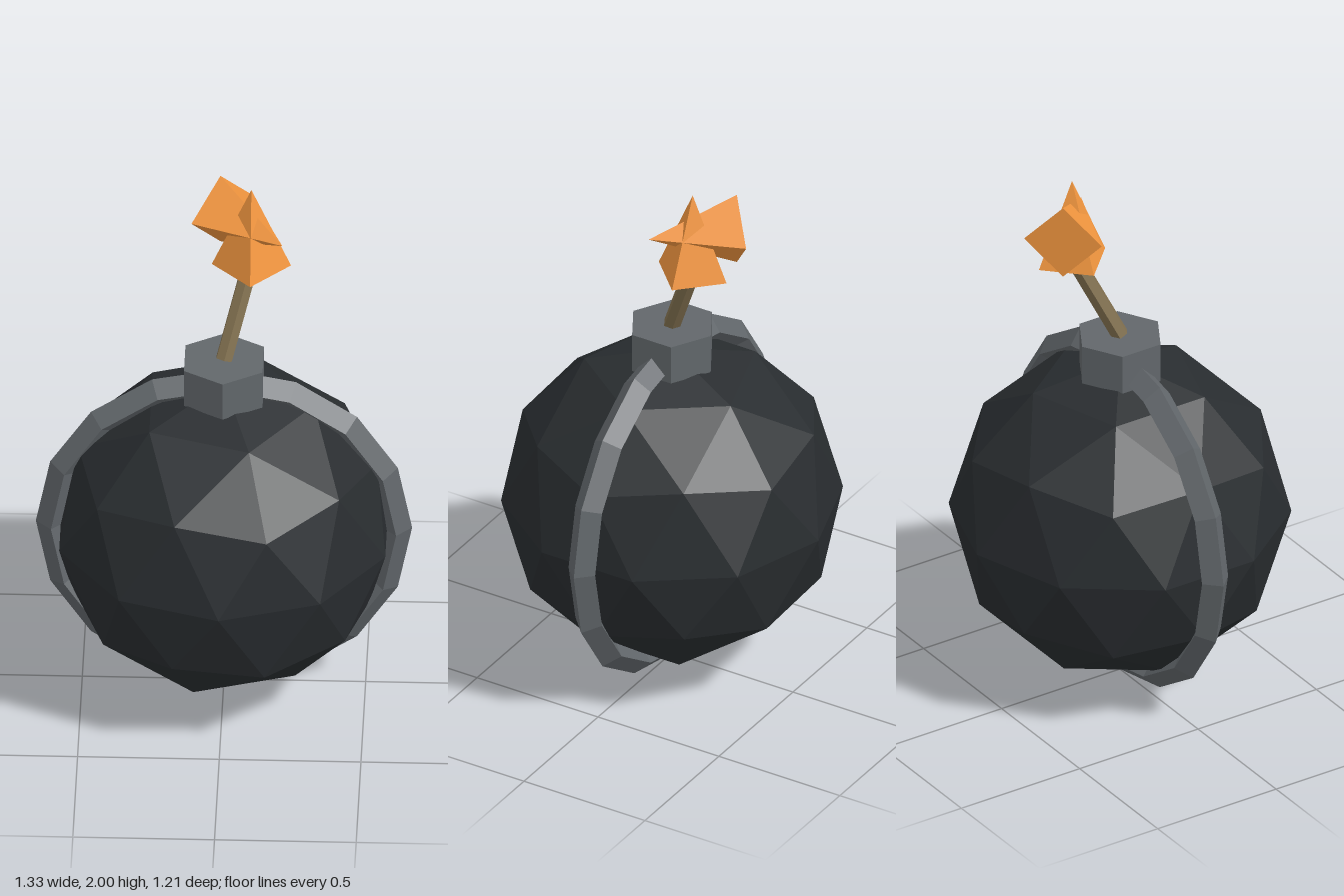
import * as THREE from 'three';

export function createModel() {
  const model = new THREE.Group();
  const material = (color) => new THREE.MeshStandardMaterial({ color, flatShading: true });
  const iron = material(0x292d30);
  const steel = material(0x62676b);
  const cord = material(0x81704f);
  const fire = material(0xf2963f);

  const add = (name, geometry, mat, x, y, z) => {
    const mesh = new THREE.Mesh(geometry, mat);
    mesh.name = name;
    mesh.position.set(x, y, z);
    model.add(mesh);
    return mesh;
  };

  // Faceted ball, turned so a five-sided corner points straight up
  const ball = new THREE.IcosahedronGeometry(0.605, 1);
  ball.rotateX(-Math.atan((1 + Math.sqrt(5)) / 2));
  ball.rotateY(Math.PI / 2);
  add('body', ball, iron, 0, 0.665, 0);

  // Diamond-section band around the ball
  add('band', new THREE.TorusGeometry(0.609, 0.055, 4, 16), steel, 0, 0.665, 0);

  // Hexagonal cap
  add('cap', new THREE.CylinderGeometry(0.16, 0.16, 0.15, 6), steel, 0, 1.297, 0);

  // Slanted fuse
  const start = new THREE.Vector3(0, 1.37, 0);
  const end = new THREE.Vector3(0.098, 1.72, -0.153);
  const direction = end.clone().sub(start);
  const middle = start.clone().add(end).multiplyScalar(0.5);
  const fuse = add('fuse', new THREE.CylinderGeometry(0.032, 0.032, direction.length(), 6), cord, ...middle);
  fuse.quaternion.setFromUnitVectors(new THREE.Vector3(0, 1, 0), direction.normalize());

  // Spark: two crossing four-sided spikes, one upright and one lying diagonally
  const spike = new THREE.ConeGeometry(0.14, 0.32, 4);
  add('sparkUpright', spike, fire, 0.092, 1.84, -0.142);
  const lying = spike.clone().rotateX(Math.PI / 2).rotateY(Math.PI / 4);
  add('sparkDiagonal', lying, fire, 0.092, 1.84, -0.142);

  return model;
}
